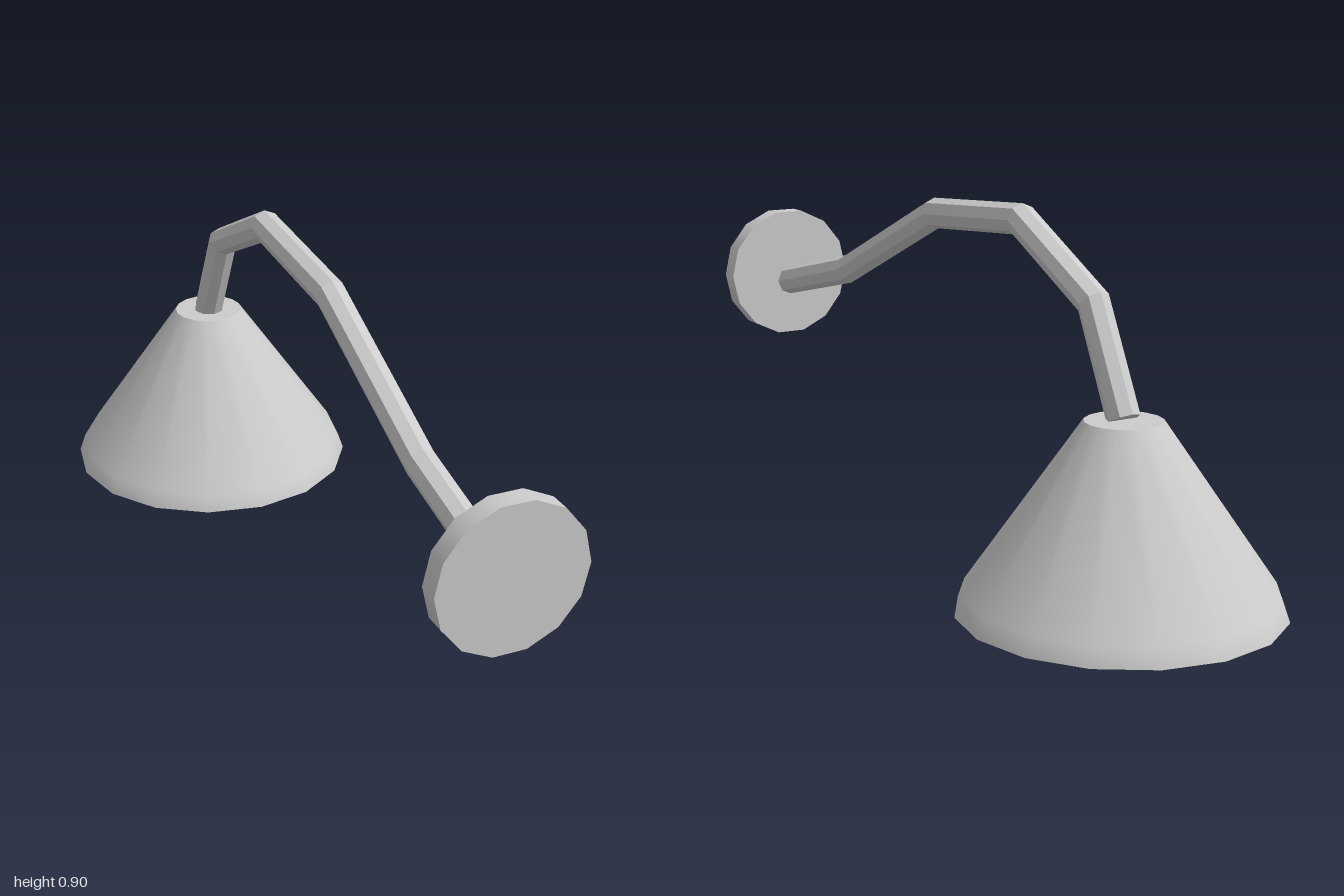
import * as THREE from 'three';

const SHADE_Z = -0.641;

// Sweep a regular polygon along a polyline in the YZ plane, with capped ends.
function sweptRod(path, radius, sides) {
  const positions = [];
  const index = [];
  const across = new THREE.Vector3(1, 0, 0);
  path.forEach((p, i) => {
    const into = p.clone().sub(path[Math.max(i - 1, 0)]).normalize();
    const out = path[Math.min(i + 1, path.length - 1)].clone().sub(p).normalize();
    const tangent = into.add(out).normalize();
    const up = new THREE.Vector3().crossVectors(across, tangent).normalize();
    for (let j = 0; j < sides; j++) {
      const a = (j / sides) * Math.PI * 2;
      const v = p.clone()
        .addScaledVector(across, radius * Math.cos(a))
        .addScaledVector(up, radius * Math.sin(a));
      positions.push(v.x, v.y, v.z);
    }
  });
  const last = (path.length - 1) * sides;
  for (let j = 0; j < sides; j++) {
    const k = (j + 1) % sides;
    for (let r = 0; r < last; r += sides) {
      index.push(r + j, r + sides + k, r + k, r + j, r + sides + j, r + sides + k);
    }
    if (j > 0 && j < sides - 1) {
      index.push(0, j, k, last, last + k, last + j);
    }
  }
  const geometry = new THREE.BufferGeometry();
  geometry.setAttribute('position', new THREE.Float32BufferAttribute(positions, 3));
  geometry.setIndex(index);
  geometry.computeVertexNormals();
  return geometry;
}

export function createModel() {
  const model = new THREE.Group();
  model.name = 'wallLamp';
  const smooth = new THREE.MeshStandardMaterial({ color: 0xcccccc });
  const faceted = new THREE.MeshStandardMaterial({ color: 0xcccccc, flatShading: true });

  const add = (name, geometry, material, y = 0, z = 0, parent = model) => {
    const mesh = new THREE.Mesh(geometry, material);
    mesh.name = name;
    mesh.position.set(0, y, z);
    parent.add(mesh);
  };

  // Round mounting plate, 14 sides with a corner on each side
  const plate = new THREE.CylinderGeometry(0.172, 0.172, 0.05, 14, 1, false, Math.PI / 2);
  plate.rotateX(Math.PI / 2);
  add('wallPlate', plate, smooth, 0.577, 0.975);

  // Bent octagonal arm: [y, z] of each bend
  const bends = [
    [0.552, 0.96], [0.635, 0.597], [0.835, 0.14],
    [0.865, -0.237], [0.722, -0.523], [0.492, -0.639],
  ].map(([y, z]) => new THREE.Vector3(0, y, z));
  add('arm', sweptRod(bends, 0.037, 8), faceted);

  // Conical shade with a short steeper rim, closed top and bottom
  const shade = new THREE.Group();
  shade.name = 'shade';
  shade.position.z = SHADE_Z;
  model.add(shade);
  const profile = [[0.359, 0.074], [0.344, 0.117], [0.086, 0.49]]
    .map(([r, y]) => new THREE.Vector2(r, y));
  add('shadeCone', new THREE.LatheGeometry(profile, 16), smooth, 0, 0, shade);
  const top = new THREE.CircleGeometry(0.086, 16).rotateX(-Math.PI / 2);
  add('shadeTop', top, smooth, 0.49, 0, shade);
  const bottom = new THREE.CircleGeometry(0.359, 16).rotateX(Math.PI / 2);
  add('shadeBottom', bottom, smooth, 0.074, 0, shade);

  // Bulb, its lower part showing below the shade
  add('bulb', new THREE.SphereGeometry(0.11, 12, 6), smooth, 0.112, SHADE_Z);

  return model;
}
